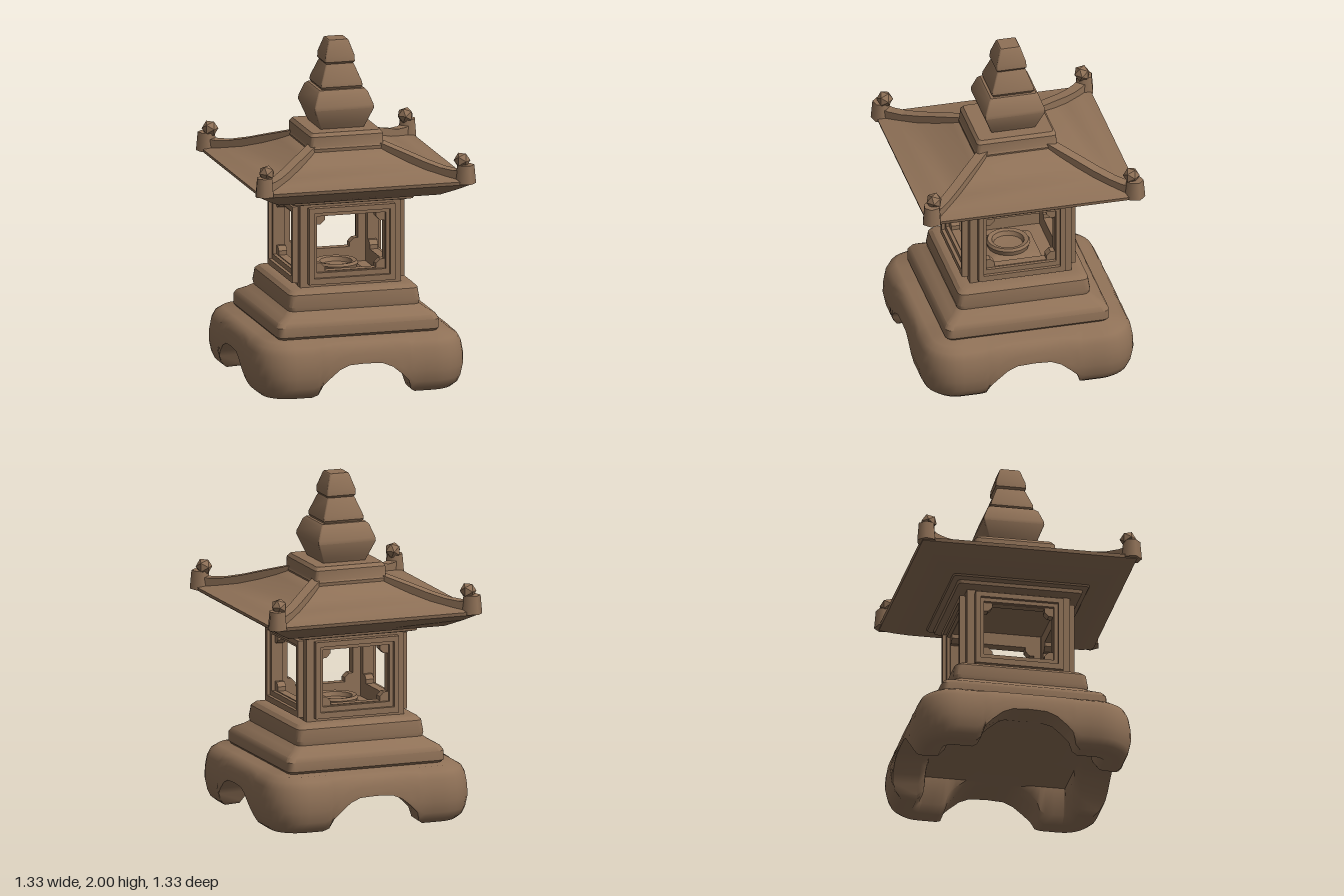
import * as THREE from 'three';
import { toCreasedNormals } from 'three/addons/utils/BufferGeometryUtils.js';

const stone = new THREE.MeshStandardMaterial({ color: 0x8f7157 });
stone.name = 'brown stone';

function add(parent, name, geometry) {
  const mesh = new THREE.Mesh(geometry, stone);
  mesh.name = name;
  parent.add(mesh);
  return mesh;
}

// Skin a list of closed rings, each with the same number of points.
function skin(rings, crease = 0.7) {
  const n = rings[0].length, index = [];
  for (let i = 0; i < rings.length - 1; i++) {
    for (let j = 0; j < n; j++) {
      const k = (j + 1) % n;
      const a = i * n + j, b = i * n + k, d = a + n, c = b + n;
      index.push(a, d, b, b, d, c);
    }
  }
  const geo = new THREE.BufferGeometry();
  geo.setAttribute('position', new THREE.Float32BufferAttribute(rings.flat(2), 3));
  geo.setIndex(index);
  return toCreasedNormals(geo, crease);
}

// Square ring with rounded corners; "straight" adds points along each side.
function ring(half, radius, yAt, straight = [], arc = 3) {
  const r = Math.min(radius, half), c = half - r, points = [];
  for (let q = 0; q < 4; q++) {
    const turn = (x, z, s) => {
      for (let i = 0; i < q; i++) [x, z] = [-z, x];
      points.push([x, yAt(s), z]);
    };
    for (const s of straight) turn(half, s, Math.abs(s));
    for (let i = 0; i <= arc; i++) {
      const t = (i / arc) * Math.PI / 2;
      turn(c + r * Math.cos(t), c + r * Math.sin(t), 1);
    }
  }
  return points;
}

// Closed square tier from a profile of [half width, height].
function tier(profile, radius) {
  const first = profile[0][1], last = profile[profile.length - 1][1];
  return skin([[0, first], ...profile, [0, last]].map(([h, y]) => ring(h, radius, () => y)), 0.6);
}

// Piecewise linear lookup in [x, value] pairs.
function lookup(table, x) {
  for (let i = 1; i < table.length; i++) {
    const [x0, v0] = table[i - 1], [x1, v1] = table[i];
    if (x <= x1) return v0 + (v1 - v0) * Math.max(0, (x - x0) / (x1 - x0));
  }
  return table[table.length - 1][1];
}

// Hollow base: bulging walls cut by an arch on each side, leaving four feet.
function baseGeometry() {
  const C = 0.42;
  const arch = [[0, 0.2], [0.1, 0.195], [0.16, 0.17], [0.22, 0.12], [0.26, 0.08], [0.28, 0.02], [0.31, 0]];
  const bulge = [[0, 0.15], [0.03, 0.19], [0.08, 0.21], [0.14, 0.22], [0.22, 0.215], [0.28, 0.2], [0.315, 0.175], [0.33, 0.14]];
  const side = [0.36, 0.31, 0.28, 0.26, 0.22, 0.16, 0.1];
  const straight = [...side.map(s => -s), 0, ...side.slice().reverse()];
  const make = (r, yAt) => ring(C + r, r, yAt, straight, 7);
  const foot = s => lookup(arch, s);
  const center = y => make(0, () => y).map(() => [0, y, 0]);
  const rings = [
    center(0.23),
    make(0.005, () => 0.215),
    make(0.02, s => Math.min(0.21, foot(s) + 0.05)),
    make(0.06, s => foot(s) + 0.005),
  ];
  for (const v of [0, 0.08, 0.2, 0.4, 0.6, 0.8, 0.92, 1]) {
    // Each point follows the bulge at its own height.
    const outline = make(0.1, s => foot(s) + (0.33 - foot(s)) * v);
    rings.push(outline.map(([x, y, z]) => {
      const grow = lookup(bulge, y) / 0.1;
      const push = p => Math.abs(p) > C ? Math.sign(p) * (C + (Math.abs(p) - C) * grow) : p;
      return [push(x), y, push(z)];
    }));
  }
  rings.push(center(0.335));
  return skin(rings, 0.8);
}

function rectangle(Type, w, y0, y1, notch = 0) {
  const p = new Type();
  if (!notch) {
    p.moveTo(-w, y0); p.lineTo(w, y0); p.lineTo(w, y1); p.lineTo(-w, y1);
  } else {
    const n = notch;
    p.moveTo(-w + n, y0);
    for (const [x, y] of [[w - n, y0], [w - n, y0 + n / 2], [w - n / 2, y0 + n], [w, y0 + n],
      [w, y1 - n], [w - n / 2, y1 - n], [w - n, y1 - n / 2], [w - n, y1],
      [-w + n, y1], [-w + n, y1 - n / 2], [-w + n / 2, y1 - n], [-w, y1 - n],
      [-w, y0 + n], [-w + n / 2, y0 + n], [-w + n, y0 + n / 2]]) p.lineTo(x, y);
  }
  p.closePath();
  return p;
}

function frame(outer, inner, z0, z1) {
  outer.holes.push(inner);
  return new THREE.ExtrudeGeometry(outer, { depth: z1 - z0, bevelEnabled: false }).translate(0, 0, z0);
}

export function createModel() {
  const model = new THREE.Group();
  model.name = 'stone lantern';

  // Base and steps
  add(model, 'footed base', baseGeometry());
  add(model, 'lower step', tier([[0.47, 0.32], [0.49, 0.345], [0.49, 0.4], [0.475, 0.425], [0.43, 0.45], [0.39, 0.48]], 0.04));
  add(model, 'upper step', tier([[0.37, 0.46], [0.395, 0.475], [0.4, 0.5], [0.39, 0.57], [0.37, 0.59], [0.33, 0.595]], 0.04));

  // Lamp chamber: four windows with raised frames, and corner posts
  const chamber = new THREE.Group();
  chamber.name = 'lamp chamber';
  model.add(chamber);
  for (let i = 0; i < 4; i++) {
    const wall = new THREE.Group();
    wall.name = 'chamber side';
    wall.rotation.y = i * Math.PI / 2;
    chamber.add(wall);
    add(wall, 'window panel', frame(rectangle(THREE.Shape, 0.27, 0.59, 1.1), rectangle(THREE.Path, 0.205, 0.685, 1.015, 0.05), 0.25, 0.3));
    add(wall, 'inner window frame', frame(rectangle(THREE.Shape, 0.235, 0.645, 1.045), rectangle(THREE.Path, 0.208, 0.68, 1.018), 0.29, 0.32));
    add(wall, 'outer window frame', frame(rectangle(THREE.Shape, 0.26, 0.615, 1.07), rectangle(THREE.Path, 0.23, 0.65, 1.04), 0.29, 0.34));
    add(wall, 'corner post', new THREE.BoxGeometry(0.06, 0.51, 0.06)).position.set(0.275, 0.845, 0.275);
  }

  // Lamp dish on the chamber floor
  add(chamber, 'dish plinth', tier([[0.17, 0.59], [0.17, 0.61], [0.14, 0.63]], 0.03));
  const dish = [[0, 0.635], [0.12, 0.63], [0.13, 0.66], [0.12, 0.675], [0.095, 0.67], [0.085, 0.645], [0, 0.64]];
  add(chamber, 'lamp dish', toCreasedNormals(new THREE.LatheGeometry(dish.map(p => new THREE.Vector2(...p)), 20), 0.7));

  // Roof
  add(model, 'eave moulding', tier([[0.33, 1.09], [0.365, 1.1], [0.37, 1.12], [0.4, 1.13], [0.41, 1.15]], 0.02));
  add(model, 'roof', tier([[0.4, 1.14], [0.49, 1.142], [0.57, 1.185], [0.635, 1.225], [0.64, 1.245],
    [0.55, 1.262], [0.45, 1.287], [0.36, 1.322], [0.28, 1.36], [0.21, 1.4]], 0.006));

  // Hip ridges with corner posts and knobs
  const top = [[0.2, 1.42], [0.26, 1.397], [0.34, 1.367], [0.42, 1.335], [0.5, 1.31], [0.56, 1.302], [0.62, 1.31]];
  const under = [[0.63, 1.235], [0.5, 1.25], [0.36, 1.3], [0.2, 1.37]];
  const profile = new THREE.Shape([...top, ...under].map(([d, y]) => new THREE.Vector2(d * Math.SQRT2, y)));
  const ridge = new THREE.ExtrudeGeometry(profile, { depth: 0.06, bevelEnabled: false }).translate(0, 0, -0.03);
  for (let i = 0; i < 4; i++) {
    const hip = new THREE.Group();
    hip.name = 'roof hip';
    hip.rotation.y = Math.PI / 4 + i * Math.PI / 2;
    model.add(hip);
    add(hip, 'hip ridge', ridge);
    add(hip, 'hip end post', new THREE.CylinderGeometry(0.05, 0.06, 0.11, 6).toNonIndexed())
      .position.set(0.86, 1.285, 0);
    add(hip, 'hip knob', new THREE.IcosahedronGeometry(0.049, 0)).position.set(0.835, 1.363, 0);
  }

  // Neck and stacked finial
  add(model, 'roof neck', tier([[0.225, 1.375], [0.228, 1.4], [0.222, 1.41], [0.22, 1.47], [0.205, 1.49]], 0.02)).scale.z = 1.08;
  add(model, 'finial lower block', tier([[0.13, 1.485], [0.145, 1.52], [0.18, 1.61], [0.178, 1.63], [0.15, 1.705], [0.135, 1.72]], 0.008));
  add(model, 'finial middle block', tier([[0.115, 1.715], [0.126, 1.735], [0.124, 1.755], [0.088, 1.85], [0.08, 1.865]], 0.008));
  add(model, 'finial tip', tier([[0.08, 1.86], [0.09, 1.875], [0.088, 1.91], [0.06, 1.995], [0.055, 2]], 0.008));

  return model;
}
